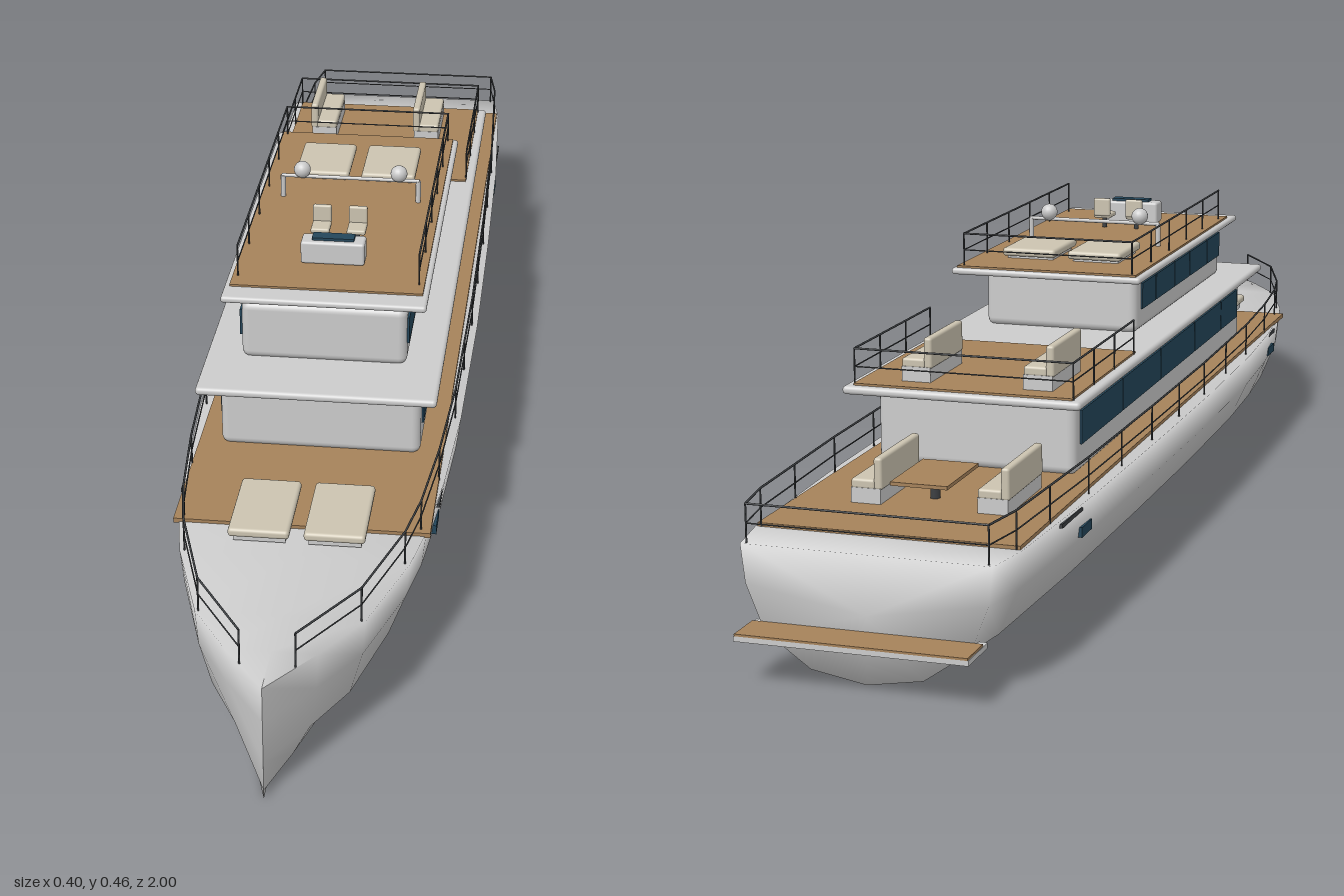
import * as THREE from 'three';
import { RoundedBoxGeometry } from 'three/addons/geometries/RoundedBoxGeometry.js';

const paint = (color) => new THREE.MeshStandardMaterial({ color });
const white = paint(0xcccccc);
const teak = paint(0xa5825a);
const glass = paint(0x24465a);
const cushion = paint(0xcbc3b0);
const dark = paint(0x3c3f42);

// Half breadth of the hull at deck level, by z.
const stations = [
  [-0.945, 0.168], [-0.87, 0.181], [-0.6, 0.193], [-0.3, 0.198], [0, 0.2], [0.3, 0.196],
  [0.48, 0.186], [0.62, 0.172], [0.7, 0.157], [0.84, 0.112], [0.92, 0.06], [1, 0],
];
function halfBreadth(z) {
  for (let i = 1; i < stations.length; i++) {
    const [z0, w0] = stations[i - 1], [z1, w1] = stations[i];
    if (z <= z1) return w0 + ((w1 - w0) * (z - z0)) / (z1 - z0);
  }
  return 0;
}

// Hull lofted through scaled copies of one section, closed by a deck and a transom.
function hullGeometry() {
  const side = [[0.45, 0.013], [0.82, 0.057], [0.965, 0.118], [1, 0.17]];
  const ring = [[0, 0], ...side, [0, 0.17], ...side.map(([x, y]) => [-x, y]).reverse()];
  const n = ring.length, position = [], index = [];
  for (const [z, w] of stations) for (const [x, y] of ring) position.push(x * w, y, z);
  for (let i = 0; i < stations.length - 1; i++) {
    for (let j = 0; j < n; j++) {
      const a = i * n + j, b = i * n + ((j + 1) % n), c = a + n, d = b + n;
      index.push(a, b, d, a, d, c);
    }
  }
  const centre = position.length / 3;
  position.push(0, 0.09, stations[0][0]);
  for (let j = 0; j < n; j++) index.push(centre, (j + 1) % n, j);
  const g = new THREE.BufferGeometry();
  g.setAttribute('position', new THREE.Float32BufferAttribute(position, 3));
  g.setIndex(index);
  g.computeVertexNormals();
  return g;
}

export function createModel() {
  const model = new THREE.Group();
  model.name = 'yacht';

  const add = (name, geometry, material, parent = model) => {
    const mesh = new THREE.Mesh(geometry, material);
    mesh.name = name;
    parent.add(mesh);
    return mesh;
  };
  // Box given by its ranges; a radius rounds its edges.
  const box = (name, [x0, x1], [y0, y1], [z0, z1], material, radius = 0, parent = model) => {
    const size = [x1 - x0, y1 - y0, z1 - z0];
    const g = radius ? new RoundedBoxGeometry(...size, 3, radius) : new THREE.BoxGeometry(...size);
    const mesh = add(name, g, material, parent);
    mesh.position.set((x0 + x1) / 2, (y0 + y1) / 2, (z0 + z1) / 2);
    return mesh;
  };
  const rod = (name, a, b, r, material, parent = model) => {
    const d = b.clone().sub(a);
    const mesh = add(name, new THREE.CylinderGeometry(r, r, d.length(), 8), material, parent);
    mesh.position.copy(a).add(b).multiplyScalar(0.5);
    mesh.quaternion.setFromUnitVectors(new THREE.Vector3(0, 1, 0), d.normalize());
    return mesh;
  };
  // Railing: a post at every point, joined by a top and a middle rail.
  const railing = (name, points, y, height) => {
    const group = new THREE.Group();
    group.name = name;
    model.add(group);
    const at = ([x, z], h) => new THREE.Vector3(x, y + h, z);
    points.forEach((p, i) => {
      rod('post', at(p, 0), at(p, height), 0.0013, dark, group);
      if (i === 0) return;
      rod('topRail', at(points[i - 1], height), at(p, height), 0.0015, dark, group);
      rod('middleRail', at(points[i - 1], height / 2), at(p, height / 2), 0.001, dark, group);
    });
  };
  // Railing along both sides and round the aft end.
  const wrap = (zs, width) => [
    ...zs.map((z) => [width(z), z]),
    ...zs.map((z) => [-width(z), z]).reverse(),
  ];

  // Hull, main deck and swim platform
  add('hull', hullGeometry(), white);
  box('mainDeck', [-0.178, 0.178], [0.168, 0.175], [-0.87, 0.63], teak);
  box('swimPlatform', [-0.155, 0.155], [0.06, 0.067], [-1, -0.93], white);
  box('swimPlatformDeck', [-0.154, 0.154], [0.067, 0.07], [-1, -0.945], teak);
  railing('mainRailing', wrap(
    [0.95, 0.84, 0.7, 0.62, 0.48, 0.3, 0.15, 0, -0.15, -0.3, -0.45, -0.6, -0.75, -0.87, -0.94],
    (z) => halfBreadth(z) * 0.955), 0.17, 0.051);

  // Portholes and deck-edge openings on both sides
  for (const s of [-1, 1]) {
    for (const z of [0.527, -0.628]) {
      const x = s * halfBreadth(z) * 0.972;
      box('porthole', [x - 0.004, x + 0.004], [0.123, 0.137], [z - 0.022, z + 0.022], glass);
    }
    for (const [z, l] of [[0.515, 0.045], [-0.69, 0.09]]) {
      const x = s * halfBreadth(z) * 0.985;
      box('fairlead', [x - 0.004, x + 0.004], [0.16, 0.166], [z - l / 2, z + l / 2], dark);
    }
  }

  // Cabins with a band of window panes on each side
  const cabin = (name, w, y, z, paneY, edges) => {
    box(name, [-w, w], y, z, white, 0.012);
    for (const s of [-1, 1]) {
      for (let i = 1; i < edges.length; i++) {
        box(name + 'Window', [s * w - 0.003, s * w + 0.003], paneY,
          [edges[i - 1] + 0.0015, edges[i] - 0.0015], glass);
      }
    }
  };
  cabin('lowerCabin', 0.145, [0.173, 0.284], [-0.535, 0.42], [0.214, 0.262],
    [-0.515, -0.31, -0.1, 0.105, 0.28, 0.397]);
  cabin('upperCabin', 0.12, [0.292, 0.382], [-0.145, 0.373], [0.326, 0.366],
    [-0.12, -0.04, 0.07, 0.165, 0.28, 0.365]);

  // Roof slabs, their teak decks and railings
  box('lowerRoof', [-0.172, 0.172], [0.282, 0.294], [-0.6, 0.475], white, 0.0055);
  box('upperAftDeck', [-0.158, 0.158], [0.292, 0.297], [-0.59, -0.28], teak);
  railing('upperAftRailing', wrap([-0.29, -0.39, -0.49, -0.585], () => 0.158), 0.294, 0.051);
  box('upperRoof', [-0.148, 0.148], [0.384, 0.394], [-0.225, 0.383], white, 0.0045);
  box('sunDeck', [-0.14, 0.14], [0.392, 0.397], [-0.219, 0.347], teak);
  railing('sunDeckRailing', wrap([0.317, 0.21, 0.105, 0, -0.105, -0.21], () => 0.132), 0.395, 0.05);

  // Sun pads in pairs
  const sunPads = (name, y, z) => {
    for (const s of [-1, 1]) {
      const x = s * 0.052;
      box(name, [x - 0.042, x + 0.042], [y, y + 0.013], z, cushion, 0.005);
      box(name + 'Base', [x - 0.036, x + 0.036], [y - 0.01, y + 0.004], [z[0] + 0.01, z[1] - 0.01], white);
    }
  };
  sunPads('bowSunPad', 0.183, [0.545, 0.682]);
  sunPads('topSunPad', 0.401, [-0.143, -0.027]);

  // Sofas with the backrest along one side
  const sofa = (name, x, y, z) => {
    box(name + 'Base', [x - 0.02, x + 0.022], [y, y + 0.022], z, white);
    box(name + 'Seat', [x - 0.012, x + 0.022], [y + 0.02, y + 0.034], z, cushion, 0.004);
    box(name + 'Back', [x - 0.022, x - 0.01], [y + 0.02, y + 0.064], z, cushion, 0.004);
  };
  for (const x of [-0.1, 0.077]) {
    sofa('upperSofa', x, 0.296, [-0.558, -0.43]);
    sofa('aftSofa', x, 0.174, [-0.748, -0.607]);
  }

  // Aft table
  box('tableTop', [-0.04, 0.04], [0.205, 0.21], [-0.757, -0.635], teak);
  rod('tableLeg', new THREE.Vector3(0, 0.174, -0.695), new THREE.Vector3(0, 0.206, -0.695), 0.007, dark);

  // Radar arch with two domes
  const archY = 0.432, archZ = 0.033;
  rod('archBar', new THREE.Vector3(-0.107, archY, archZ), new THREE.Vector3(0.107, archY, archZ), 0.003, white);
  for (const s of [-1, 1]) {
    rod('archLeg', new THREE.Vector3(s * 0.105, 0.396, archZ), new THREE.Vector3(s * 0.105, archY, archZ), 0.004, white);
    add('radarDome', new THREE.SphereGeometry(0.013, 20, 14), white).position.set(s * 0.075, 0.443, archZ);
  }

  // Helm console and seats
  box('helmConsole', [-0.047, 0.047], [0.397, 0.432], [0.235, 0.268], white, 0.004);
  box('helmScreen', [-0.031, 0.031], [0.431, 0.436], [0.24, 0.26], glass);
  for (const s of [-1, 1]) {
    const x = s * 0.027;
    rod('helmSeatPost', new THREE.Vector3(x, 0.396, 0.182), new THREE.Vector3(x, 0.415, 0.182), 0.004, dark);
    box('helmSeat', [x - 0.014, x + 0.014], [0.414, 0.422], [0.165, 0.2], cushion, 0.003);
    box('helmSeatBack', [x - 0.014, x + 0.014], [0.418, 0.447], [0.163, 0.171], cushion, 0.003);
  }

  return model;
}
